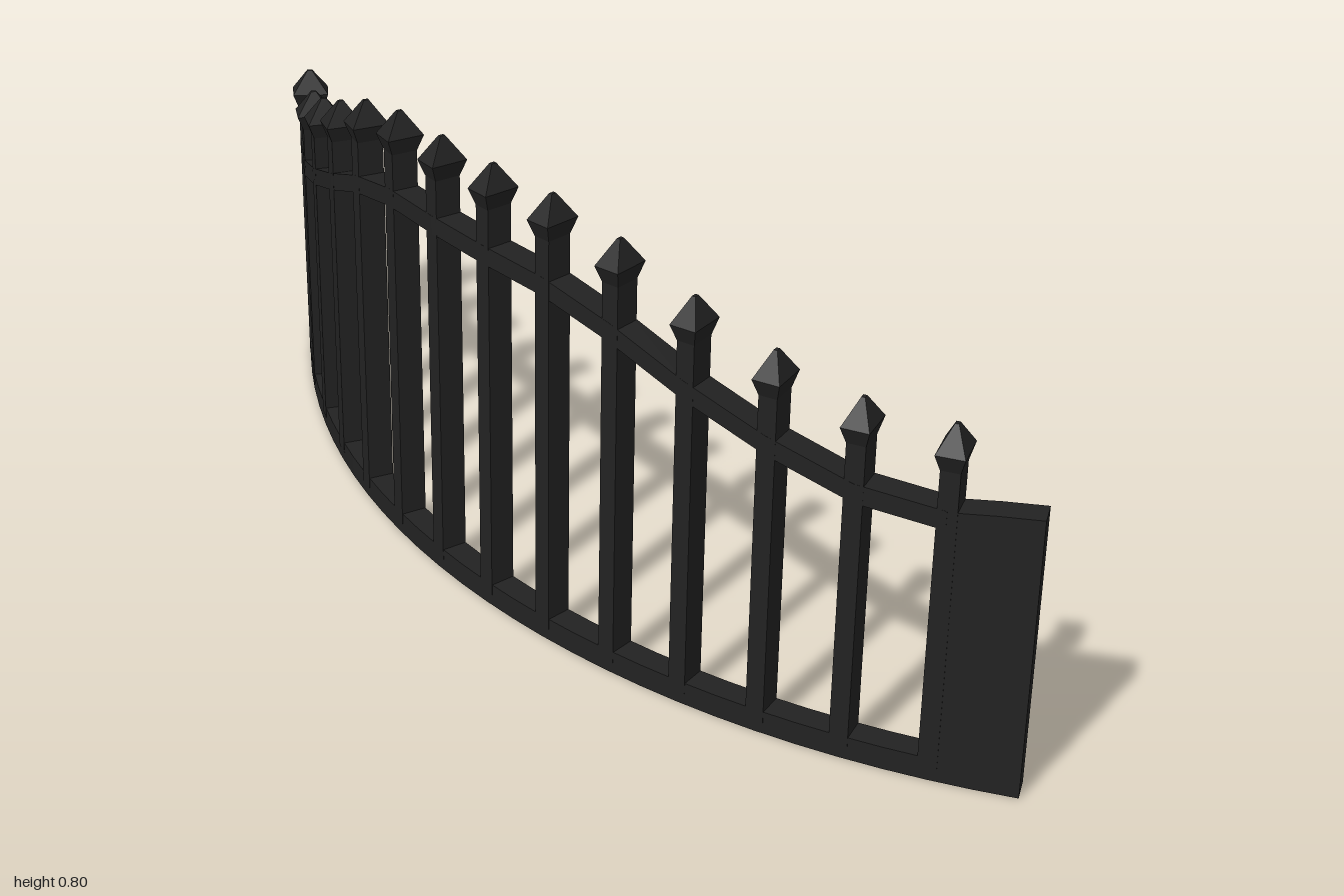
import * as THREE from 'three';

const R = 1.67;            // radius of the curved ground plan
const STEP = 0.0842;       // angle between neighbouring pickets
const DEPTH = 0.045;       // radial thickness of rails and panels
const FRONT_Z = 0.158;     // centre line of the fence at x = 0
// rail height at each picket, from the middle outwards
const RAIL_Y = [0.65, 0.645, 0.614, 0.561, 0.512, 0.471, 0.459];

// Skin a list of four-cornered sections, anticlockwise about the travel direction, capped at both ends
function loft(sections) {
  const pos = [];
  const quad = (a, b, c, d) => [a, b, c, a, c, d].forEach((p) => pos.push(...p));
  for (let i = 0; i < sections.length - 1; i++) {
    const s = sections[i], t = sections[i + 1];
    for (let k = 0; k < 4; k++) {
      const n = (k + 1) % 4;
      quad(s[k], s[n], t[n], t[k]);
    }
  }
  const first = sections[0], last = sections[sections.length - 1];
  quad(first[0], first[3], first[2], first[1]);
  quad(last[0], last[1], last[2], last[3]);
  const geo = new THREE.BufferGeometry();
  geo.setAttribute('position', new THREE.Float32BufferAttribute(pos, 3));
  geo.computeVertexNormals();
  return geo;
}

// Point on the arc at an angle, height and radial offset
const arcPoint = (angle, y, offset) => [
  (R + offset) * Math.sin(angle), y, (R + offset) * Math.cos(angle) - R + FRONT_Z,
];

// Bar that follows the arc; stations are [angle, bottom, top]
function arcBar(stations, depth = DEPTH) {
  const h = depth / 2;
  return loft(stations.map(([a, lo, hi]) => [
    arcPoint(a, lo, -h), arcPoint(a, hi, -h), arcPoint(a, hi, h), arcPoint(a, lo, h),
  ]));
}

// Upright picket with a flared, pointed tip; sections are [height, width, depth]
function picketGeometry(peak) {
  return loft([
    [0.02, 0.031, 0.046],
    [peak - 0.07, 0.031, 0.046],
    [peak - 0.042, 0.046, 0.066],
    [peak, 0.006, 0.009],
  ].map(([y, w, d]) => [
    [-w / 2, y, d / 2], [w / 2, y, d / 2], [w / 2, y, -d / 2], [-w / 2, y, -d / 2],
  ]));
}

export function createModel() {
  const group = new THREE.Group();
  group.name = 'curvedFence';
  const iron = new THREE.MeshStandardMaterial({ color: 0x222222 });
  iron.name = 'black iron';
  const add = (geometry, name) => {
    const mesh = new THREE.Mesh(geometry, iron);
    mesh.name = name;
    group.add(mesh);
    return mesh;
  };

  // Bottom rail along the whole arc
  const base = [];
  for (let i = -15; i <= 15; i++) base.push([i * STEP / 2, 0, 0.04]);
  add(arcBar(base), 'bottomRail');

  // Top rail, rising in the middle
  const top = [];
  for (let i = 0; i < 14; i++) {
    const y = RAIL_Y[i < 7 ? 6 - i : i - 7];
    top.push([(i - 6.5) * STEP, y - 0.016, y + 0.016]);
  }
  add(arcBar(top, 0.047), 'topRail');

  // Solid end panels
  const inner = 6.5 * STEP, outer = 7.5 * STEP;
  add(arcBar([[inner, 0, 0.473], [(inner + outer) / 2, 0, 0.482], [outer, 0, 0.487]]), 'leftPanel');
  add(arcBar([[-outer, 0, 0.487], [-(inner + outer) / 2, 0, 0.482], [-inner, 0, 0.473]]), 'rightPanel');

  // Pickets, turned to face outwards from the arc
  RAIL_Y.forEach((y, i) => {
    const geometry = picketGeometry(y + 0.151);
    for (const side of [1, -1]) {
      const angle = side * (i + 0.5) * STEP;
      const picket = add(geometry, side > 0 ? 'leftPicket' : 'rightPicket');
      picket.position.set(...arcPoint(angle, 0, 0));
      picket.rotation.y = angle;
    }
  });

  group.rotation.y = 0.008;
  return group;
}
